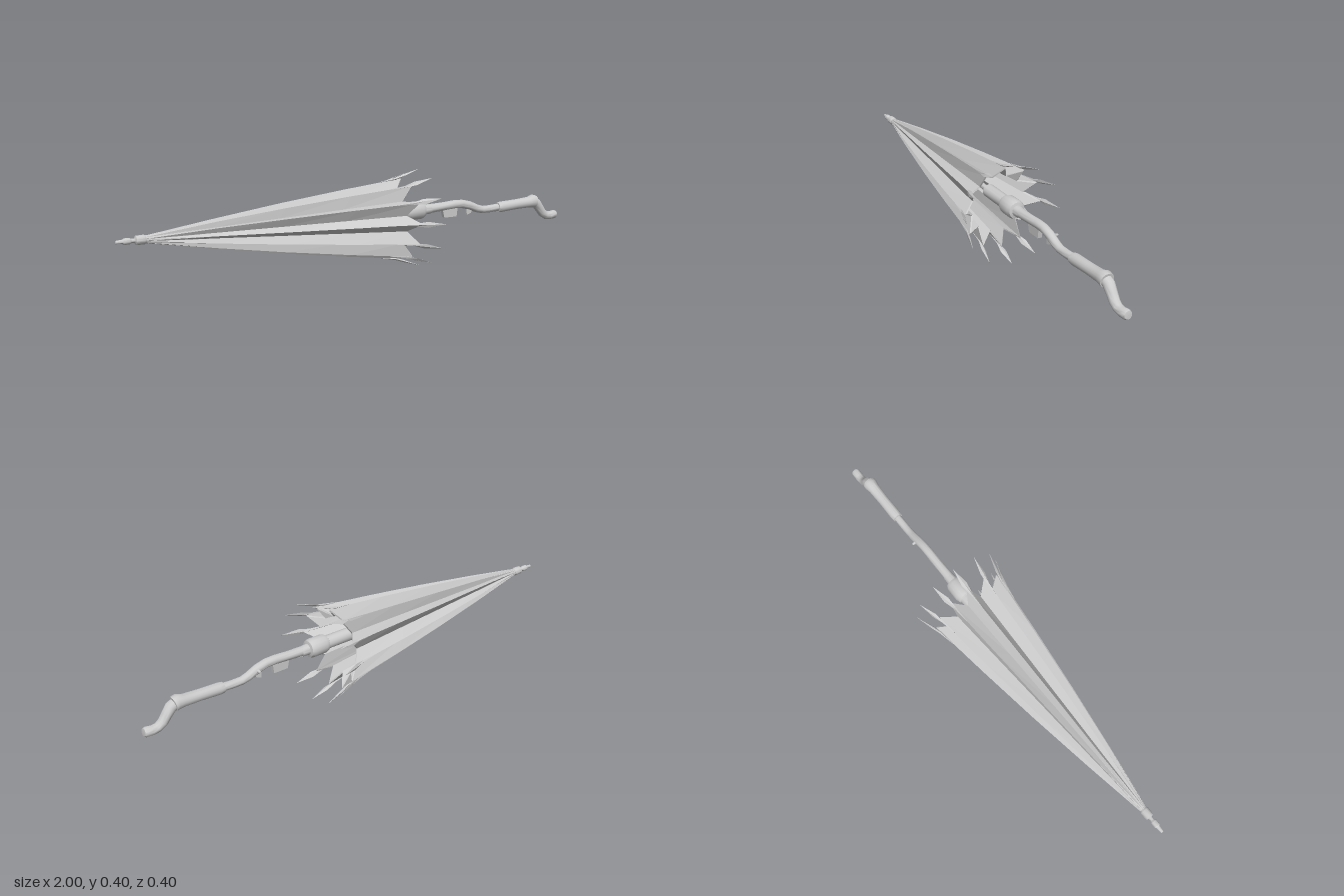
import * as THREE from 'three';
import { toCreasedNormals } from 'three/addons/utils/BufferGeometryUtils.js';

const RIBS = 12;
const TWIST = -0.035;
const lerp = THREE.MathUtils.lerp;

// The canopy axis droops slightly from the ferrule to the hem
const axisY = x => lerp(0.233, 0.2, (x + 0.9) / 1.16);
const around = (x, r, a) => new THREE.Vector3(x, axisY(x) + r * Math.cos(a), r * Math.sin(a));

function add(parent, name, geometry, flat = false) {
  const material = new THREE.MeshStandardMaterial({ color: 0xcccccc, flatShading: flat, side: THREE.DoubleSide });
  const mesh = new THREE.Mesh(geometry, material);
  mesh.name = name;
  parent.add(mesh);
  return mesh;
}

// Joins equal-length rings of Vector3 into a surface
function loft(rings) {
  const n = rings[0].length, index = [];
  for (let i = 0; i < rings.length - 1; i++) {
    for (let j = 0; j < n; j++) {
      const a = i * n + j, b = i * n + (j + 1) % n;
      index.push(a, b, a + n, b, b + n, a + n);
    }
  }
  const geometry = new THREE.BufferGeometry().setFromPoints(rings.flat());
  geometry.setIndex(index);
  geometry.computeVertexNormals();
  return geometry;
}

// Turned part lying along x; profile is a list of [x, radius]
function turned(profile, y, sides = 16) {
  const geometry = new THREE.LatheGeometry(profile.map(([x, r]) => new THREE.Vector2(r, x)), sides);
  geometry.rotateZ(-Math.PI / 2).translate(0, y, 0);
  return toCreasedNormals(geometry, 0.6);
}

// Round bar bent in the xy plane; stations are [x, y, radius]
function bentBar(stations, sides = 16) {
  const rings = stations.map(([x, y, r], i) => {
    const p = stations[Math.max(i - 1, 0)], q = stations[Math.min(i + 1, stations.length - 1)];
    const t = new THREE.Vector2(q[0] - p[0], q[1] - p[1]).normalize();
    return Array.from({ length: sides }, (_, j) => {
      const a = j / sides * Math.PI * 2, c = r * Math.cos(a);
      return new THREE.Vector3(x - t.y * c, y + t.x * c, r * Math.sin(a));
    });
  });
  return toCreasedNormals(loft(rings), 0.7);
}

// Flat plate from a side outline, centred on z
function plate(outline, depth) {
  const shape = new THREE.Shape(outline.map(p => new THREE.Vector2(...p)));
  return new THREE.ExtrudeGeometry(shape, { depth, bevelEnabled: false }).translate(0, 0, -depth / 2);
}

function canopyRing(t, inset) {
  return Array.from({ length: RIBS * 2 }, (_, j) => {
    const peak = j % 2 === 0;
    const x = lerp(-0.9, peak ? 0.18 : 0.135, t);
    const flare = peak ? 0.008 * Math.sin(Math.PI * t) : 0;
    const r = lerp(0.013, peak ? 0.168 : 0.121, t) + flare - inset * t;
    return around(x, r, TWIST + j * Math.PI / RIBS);
  });
}

// Flat pointed leaf that ends a rib
function ribTip(a) {
  const side = new THREE.Vector3(0, -Math.sin(a), Math.cos(a));
  const out = new THREE.Vector3(0, Math.cos(a), Math.sin(a));
  const section = ([x, r, w, h]) => {
    const c = around(x, r, a);
    return [[0, h], [w, 0], [0, -h], [-w, 0]].map(([u, v]) =>
      c.clone().addScaledVector(side, u).addScaledVector(out, v));
  };
  return loft([
    [0.08, 0.156, 0.001, 0.001], [0.15, 0.166, 0.005, 0.005],
    [0.195, 0.18, 0.012, 0.005], [0.264, 0.202, 0.0005, 0.0005],
  ].map(section));
}

export function createModel() {
  const model = new THREE.Group();
  model.name = 'foldedUmbrella';

  // Pleated canopy: outer cloth, hem and lining in one shell
  const steps = [0, 0.25, 0.5, 0.75, 1];
  const rings = [
    ...steps.map(t => canopyRing(t, 0)),
    ...steps.slice().reverse().map(t => canopyRing(t, 0.007)),
  ];
  add(model, 'canopy', loft(rings), true);

  // Rib tips
  const tips = new THREE.Group();
  tips.name = 'ribTips';
  for (let i = 0; i < RIBS; i++) add(tips, 'ribTip', ribTip(TWIST + i * 2 * Math.PI / RIBS), true);
  model.add(tips);

  // Ferrule with stepped beads
  add(model, 'ferrule', turned([
    [-1, 0], [-1, 0.006], [-0.975, 0.008], [-0.97, 0.012], [-0.95, 0.012], [-0.943, 0.008],
    [-0.932, 0.008], [-0.927, 0.017], [-0.897, 0.018], [-0.89, 0.014], [-0.87, 0.012],
  ], 0.233));

  // Inner shaft and the barrel that comes out of the canopy
  add(model, 'innerShaft', turned([[-0.88, 0.008], [0.1, 0.012]], 0.232));
  add(model, 'barrel', turned([[0.06, 0], [0.06, 0.027], [0.21, 0.027]], 0.231));
  add(model, 'collar', turned([
    [0.195, 0.026], [0.2, 0.033], [0.215, 0.038], [0.27, 0.038], [0.283, 0.033],
    [0.286, 0.022], [0.32, 0.02],
  ], 0.231));

  // Curved neck between the collar and the grip
  add(model, 'neck', bentBar([
    [0.28, 0.231, 0.02], [0.38, 0.235, 0.018], [0.44, 0.239, 0.018], [0.48, 0.238, 0.018],
    [0.52, 0.228, 0.018], [0.56, 0.211, 0.017], [0.59, 0.203, 0.016], [0.63, 0.203, 0.016],
    [0.69, 0.206, 0.016],
  ]));

  // Grip with a flared end
  add(model, 'grip', bentBar([
    [0.67, 0.205, 0.001], [0.671, 0.205, 0.021], [0.69, 0.206, 0.023], [0.77, 0.21, 0.022],
    [0.84, 0.213, 0.024], [0.862, 0.216, 0.029], [0.874, 0.213, 0.028], [0.876, 0.213, 0.001],
  ]));

  // Hooked end of the handle
  add(model, 'hook', bentBar([
    [0.86, 0.217, 0.021], [0.885, 0.205, 0.022], [0.905, 0.18, 0.02], [0.922, 0.158, 0.019],
    [0.942, 0.145, 0.018], [0.965, 0.142, 0.018], [0.99, 0.145, 0.019], [0.998, 0.146, 0.015],
    [1, 0.146, 0.001],
  ]));

  // Block and small trigger below the neck, stud on its far side
  add(model, 'lowerBlock', plate([[0.378, 0.225], [0.388, 0.188], [0.45, 0.188], [0.455, 0.228]], 0.018));
  add(model, 'trigger', plate([[0.502, 0.225], [0.506, 0.188], [0.528, 0.196], [0.534, 0.215]], 0.01));
  const stud = add(model, 'stud', new THREE.CylinderGeometry(0.004, 0.01, 0.02, 8));
  stud.rotation.x = -Math.PI / 2;
  stud.position.set(0.525, 0.226, -0.02);

  return model;
}
